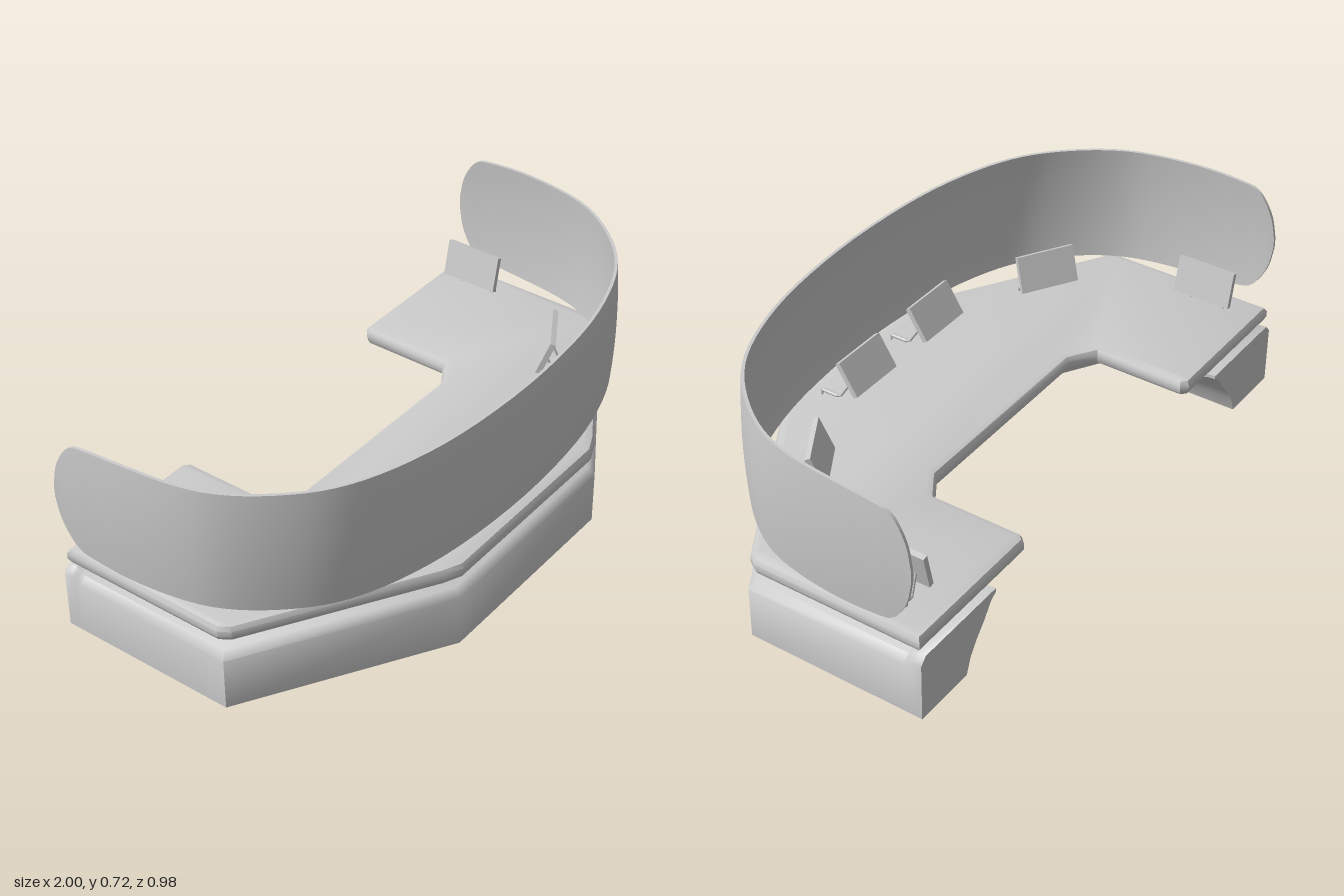
import * as THREE from 'three';
import { toCreasedNormals } from 'three/addons/utils/BufferGeometryUtils.js';

const material = new THREE.MeshStandardMaterial({ color: 0xcccccc, side: THREE.DoubleSide });

function mesh(name, geometry) {
  const m = new THREE.Mesh(geometry, material);
  m.name = name;
  return m;
}

// Skins a list of closed rings and caps both ends (which face -z)
function loft(rings, crease) {
  const n = rings[0].length, index = [];
  const position = rings.flat().flatMap(p => [p.x, p.y, p.z]);
  for (let i = 0; i < rings.length - 1; i++) {
    for (let j = 0; j < n; j++) {
      const k = (j + 1) % n;
      const a = i * n + j, b = a + n, c = (i + 1) * n + k, d = i * n + k;
      index.push(a, b, c, a, c, d);
    }
  }
  for (const r of [0, rings.length - 1]) {
    const flat = rings[r].map(p => new THREE.Vector2(p.x, p.y));
    for (const [a, b, c] of THREE.ShapeUtils.triangulateShape(flat, [])) {
      const area = THREE.ShapeUtils.area([flat[a], flat[b], flat[c]]);
      const tri = area > 0 ? [a, c, b] : [a, b, c];
      index.push(...tri.map(v => v + r * n));
    }
  }
  const g = new THREE.BufferGeometry();
  g.setAttribute('position', new THREE.Float32BufferAttribute(position, 3));
  g.setIndex(index);
  return toCreasedNormals(g, crease);
}

// Faceted U path; every station holds its mitre direction and a top lift.
// A section is a list of [inset, height].
function sweepU(section, ends, crease) {
  const right = [
    { x: 0.36, z: 0.49, mx: 0.279, mz: 1 },
    { x: 0.98, z: 0.115, mx: 1, mz: 0.564 },
    ...ends.map(([z, lift]) => ({ x: 0.98, z, mx: 1, mz: 0, lift })),
  ];
  const left = right.map(s => ({ ...s, x: -s.x, mx: -s.mx })).reverse();
  const rings = [...left, ...right].map(s => section.map(([d, y]) =>
    new THREE.Vector3(s.x - s.mx * d, y + (y > 0.15 ? s.lift || 0 : 0), s.z - s.mz * d)));
  return loft(rings, crease);
}

function mirrorOutline(half) {
  return [...half, ...half.map(([x, z]) => [-x, z]).reverse()];
}

// Worktop with bevelled edges
function worktop() {
  const outline = mirrorOutline([
    [0.34, 0.485], [0.4, 0.458], [0.95, 0.125], [0.972, 0.09], [0.972, -0.48],
    [0.465, -0.48], [0.445, -0.46], [0.445, -0.155], [0.36, -0.1],
  ]);
  const shape = new THREE.Shape(outline.map(([x, z]) => new THREE.Vector2(x, -z)));
  const g = new THREE.ExtrudeGeometry(shape, {
    depth: 0.02, bevelEnabled: true, bevelThickness: 0.02,
    bevelSize: 0.026, bevelOffset: -0.026, bevelSegments: 2,
  });
  g.rotateX(-Math.PI / 2);
  g.translate(0, 0.25, 0);
  return toCreasedNormals(g, 0.6);
}

// Curved privacy screen: x, z, lower edge, upper edge of one half
function screen() {
  const half = [
    [0.31, 0.447, 0.315, 0.72], [0.54, 0.395, 0.315, 0.72], [0.71, 0.318, 0.315, 0.72],
    [0.835, 0.206, 0.315, 0.72], [0.926, 0.074, 0.315, 0.72], [0.968, -0.06, 0.315, 0.72],
    [0.987, -0.22, 0.316, 0.72], [0.99, -0.36, 0.326, 0.711], [0.989, -0.405, 0.34, 0.698],
    [0.988, -0.435, 0.375, 0.664], [0.987, -0.461, 0.43, 0.61], [0.987, -0.475, 0.5, 0.54],
  ];
  const all = [
    ...half.map(([x, ...rest]) => [-x, ...rest]).reverse(),
    [0, 0.467, 0.315, 0.72], ...half,
  ];
  const path = new THREE.CatmullRomCurve3(
    all.map(([x, z]) => new THREE.Vector3(x, 0, z)), false, 'catmullrom', 0.5);
  const edges = new THREE.CatmullRomCurve3(
    all.map(([, , lo, hi]) => new THREE.Vector3(lo, hi, 0)), false, 'catmullrom', 0.5);
  const rings = [], steps = 96, rows = 10, thickness = 0.01;
  for (let i = 0; i <= steps; i++) {
    const p = path.getPoint(i / steps), t = path.getTangent(i / steps);
    const e = edges.getPoint(i / steps);
    const at = (row, inset) => {
      const y = THREE.MathUtils.lerp(e.x, e.y, row / rows);
      const v = (y - 0.5175) / 0.2025;
      const out = 0.009 * (1 - v * v) - inset;
      return new THREE.Vector3(p.x - t.z * out, y, p.z + t.x * out);
    };
    const ring = [];
    for (let r = 0; r <= rows; r++) ring.push(at(r, 0));
    for (let r = rows; r >= 0; r--) ring.push(at(r, thickness));
    rings.push(ring);
  }
  return loft(rings, 0.7);
}

// Tilted display on two bent legs whose feet reach outwards
function display(x, z, angle, tilt, reach, y) {
  const g = new THREE.Group();
  g.name = 'display';
  const panel = mesh('displayPanel', new THREE.BoxGeometry(0.2, 0.12, 0.018));
  panel.position.y = y;
  panel.rotation.x = tilt;
  g.add(panel);
  for (const side of [-1, 1]) {
    const lx = side * 0.06;
    const path = new THREE.CurvePath();
    const pts = [[reach, 0.288], [reach, 0.308], [reach * 0.45, 0.31], [0.004, y - 0.02]]
      .map(([d, h]) => new THREE.Vector3(lx, h, d));
    for (let i = 0; i < 3; i++) path.add(new THREE.LineCurve3(pts[i], pts[i + 1]));
    g.add(mesh('displayLeg', new THREE.TubeGeometry(path, 20, 0.004, 6)));
    const foot = mesh('displayFoot', new THREE.CapsuleGeometry(0.006, reach * 0.4, 4, 8));
    foot.rotation.x = Math.PI / 2;
    foot.position.set(lx, 0.308, reach * 0.75);
    g.add(foot);
  }
  g.position.set(x, 0, z);
  g.rotation.y = angle;
  return g;
}

export function createModel() {
  const model = new THREE.Group();
  model.name = 'controlDesk';

  // Plinth with softened outer edge and concave inner side
  model.add(mesh('base', sweepU([
    [0, 0], [0, 0.175], [0.022, 0.2], [0.36, 0.2], [0.36, 0.188], [0.335, 0.17],
    [0.3, 0.14], [0.265, 0.1], [0.235, 0.055], [0.215, 0],
  ], [[-0.43, 0], [-0.445, 0.01], [-0.462, 0.018], [-0.49, 0.02]], 0.9)));
  model.add(mesh('riser', sweepU([
    [0.115, 0.19], [0.115, 0.24], [0.34, 0.24], [0.34, 0.19],
  ], [[-0.38, 0]], 0.5)));
  model.add(mesh('worktop', worktop()));
  model.add(mesh('privacyScreen', screen()));

  // Three displays on each side
  for (const s of [-1, 1]) {
    model.add(display(s * 0.18, 0.29, 0, 0.57, 0.13, 0.415));
    model.add(display(s * 0.6, 0.142, s * 0.54, 0.38, 0.08, 0.405));
    model.add(display(s * 0.837, -0.315, s * Math.PI / 2, 0.23, 0.05, 0.397));
  }
  return model;
}
